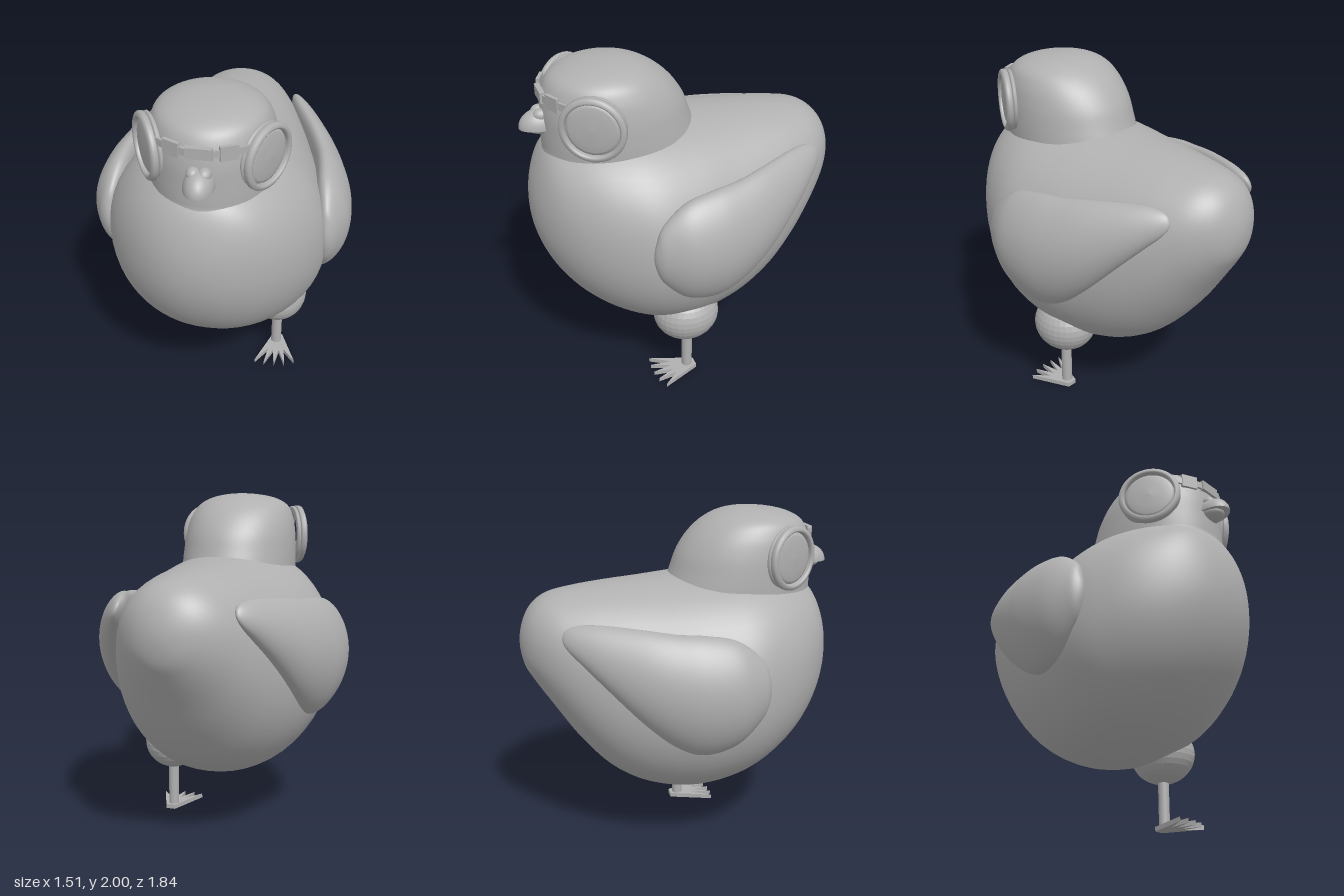
import * as THREE from 'three';
import { mergeVertices } from 'three/addons/utils/BufferGeometryUtils.js';

// Closed smooth loft along z. Stations: [z, low, high, halfWidth, centreX], pole to pole.
// A power below 1 makes the elliptical sections slightly squarer.
function loft(stations, power = 1, steps = 7, sides = 56) {
  const ghost = (s) => [s[0], s[2], s[1], -s[3], s[4] ?? 0];
  const bulge = (c) => Math.sign(c) * Math.abs(c) ** power;
  const n = stations.length;
  const list = [ghost(stations[1]), ...stations, ghost(stations[n - 2])];
  const rings = [];
  for (let i = 1; i < n; i++) {
    for (let k = 0; k < steps + (i === n - 1 ? 1 : 0); k++) {
      const t = k / steps;
      rings.push([0, 1, 2, 3, 4].map((q) => {
        const [a, b, c, d] = [0, 1, 2, 3].map((o) => list[i - 1 + o][q] ?? 0);
        return b + 0.5 * t * (c - a + t * (2 * a - 5 * b + 4 * c - d + t * (3 * (b - c) + d - a)));
      }));
    }
  }
  const pos = [], index = [];
  rings.forEach(([z, lo, hi, w, cx], i) => {
    for (let j = 0; j < sides; j++) {
      const a = (j / sides) * Math.PI * 2;
      pos.push(cx + w * bulge(Math.cos(a)), (lo + hi) / 2 + ((hi - lo) / 2) * bulge(Math.sin(a)), z);
      if (i === rings.length - 1) continue;
      const p = i * sides + j, q = i * sides + ((j + 1) % sides);
      index.push(p, q, q + sides, p, q + sides, p + sides);
    }
  });
  const g = new THREE.BufferGeometry();
  g.setAttribute('position', new THREE.Float32BufferAttribute(pos, 3));
  g.setIndex(index);
  const merged = mergeVertices(g, 1e-5);
  merged.computeVertexNormals();
  return merged;
}

export function createModel() {
  const model = new THREE.Group();
  model.name = 'bird';
  const grey = new THREE.MeshStandardMaterial({ color: 0xb0b0b0 });
  grey.name = 'grey';

  const add = (name, geometry, x = 0, y = 0, z = 0, parent = model) => {
    const mesh = new THREE.Mesh(geometry, grey);
    mesh.name = name;
    mesh.position.set(x, y, z);
    parent.add(mesh);
    return mesh;
  };

  // Plump body with a raised tail end
  add('body', loft([
    [-0.92, 1.27, 1.27, 0], [-0.9, 1.145, 1.385, 0.11], [-0.845, 1.045, 1.485, 0.21],
    [-0.75, 0.9, 1.55, 0.305], [-0.6, 0.68, 1.58, 0.4], [-0.42, 0.487, 1.6, 0.48],
    [-0.2, 0.367, 1.617, 0.55], [0.06, 0.33, 1.64, 0.612], [0.307, 0.383, 1.655, 0.625],
    [0.5, 0.478, 1.645, 0.56], [0.666, 0.613, 1.605, 0.455], [0.793, 0.78, 1.53, 0.322],
    [0.873, 0.967, 1.355, 0.168], [0.9, 1.16, 1.16, 0],
  ], 0.94));

  // Domed head, lofted upwards
  const head = loft([
    [1.4, -0.35, -0.35, 0], [1.42, -0.79, 0.11, 0.34], [1.53, -0.8, 0.08, 0.346],
    [1.65, -0.8, 0.037, 0.344], [1.76, -0.796, -0.005, 0.335], [1.86, -0.774, -0.075, 0.313],
    [1.935, -0.722, -0.165, 0.268], [1.982, -0.6, -0.27, 0.165], [2, -0.41, -0.41, 0],
  ]);
  head.rotateX(-Math.PI / 2);
  add('head', head);

  // Teardrop wings, bowed inwards at top and bottom to hug the body
  const wing = [
    [-0.715, 1.375, 1.375, 0, 0.395], [-0.69, 1.32, 1.425, 0.027, 0.405],
    [-0.62, 1.245, 1.45, 0.057, 0.43], [-0.5, 1.12, 1.455, 0.08, 0.48],
    [-0.3, 0.915, 1.44, 0.1, 0.56], [-0.13, 0.775, 1.42, 0.11, 0.61],
    [0.02, 0.72, 1.41, 0.115, 0.635], [0.19, 0.77, 1.375, 0.105, 0.64],
    [0.32, 0.907, 1.275, 0.06, 0.63], [0.365, 1, 1.18, 0.03, 0.625], [0.38, 1.09, 1.09, 0, 0.62],
  ];
  for (const side of [1, -1]) {
    const g = loft(wing.map(([z, lo, hi, w, c]) => [z, lo, hi, w, c * side]));
    const p = g.attributes.position;
    for (let i = 0; i < p.count; i++) p.setX(i, p.getX(i) - side * 0.55 * (p.getY(i) - 1.08) ** 2);
    g.computeVertexNormals();
    add(side > 0 ? 'leftWing' : 'rightWing', g);
  }

  // Beak: domed upper half with two bumps at its root, over a smaller lower half
  const upper = new THREE.SphereGeometry(1, 28, 12, 0, Math.PI * 2, 0, Math.PI / 2);
  add('upperBeak', upper.scale(0.08, 0.1, 0.12), 0, 1.662, 0.798);
  add('upperBeakBase', new THREE.CircleGeometry(1, 28).rotateX(Math.PI / 2).scale(0.08, 1, 0.12), 0, 1.662, 0.798);
  add('lowerBeak', new THREE.SphereGeometry(1, 24, 14).scale(0.065, 0.04, 0.085), 0, 1.662, 0.795);
  for (const side of [1, -1]) {
    add('beakBump', new THREE.SphereGeometry(1, 20, 14).scale(0.036, 0.035, 0.045), side * 0.028, 1.738, 0.797);
  }

  // Goggles: stepped rings with shallow domed lenses
  const v = (r, h) => new THREE.Vector2(r, h);
  const ringParts = [
    ['rim', [v(0.146, -0.02), v(0.17, -0.02), v(0.18, -0.014), v(0.181, 0.004), v(0.176, 0.014),
      v(0.16, 0.022), v(0.15, 0.018), v(0.146, 0.008), v(0.146, -0.02)]],
    ['rimBack', [v(0.14, -0.045), v(0.168, -0.045), v(0.176, -0.04), v(0.176, -0.028), v(0.168, -0.02), v(0.14, -0.02)]],
    ['lens', [v(0.148, -0.012), v(0.14, 0), v(0.13, 0.002), v(0.127, 0.006), v(0.08, 0.012), v(0, 0.016)]],
  ];
  const goggles = new THREE.Group();
  goggles.name = 'goggles';
  model.add(goggles);
  for (const side of [1, -1]) {
    const eyepiece = new THREE.Group();
    eyepiece.name = side > 0 ? 'leftEyepiece' : 'rightEyepiece';
    eyepiece.position.set(side * 0.313, 1.743, 0.595);
    eyepiece.rotation.y = side * 1.04;
    goggles.add(eyepiece);
    for (const [name, profile] of ringParts) {
      add(name, new THREE.LatheGeometry(profile, 56).rotateX(Math.PI / 2), 0, 0, 0, eyepiece);
    }
    // Strap links running from the bridge to the ring
    for (const [name, w, h, d, x, z, turn] of [
      ['thinLink', 0.07, 0.04, 0.014, 0.085, 0.777, 0.35],
      ['buckle', 0.095, 0.08, 0.02, 0.142, 0.755, 0.45],
      ['endLink', 0.07, 0.04, 0.014, 0.2, 0.72, 0.6],
    ]) {
      add(name, new THREE.BoxGeometry(w, h, d), side * x, 1.845, z, goggles).rotation.y = side * turn;
    }
  }
  add('bridge', new THREE.BoxGeometry(0.135, 0.06, 0.028), 0, 1.847, 0.788, goggles);

  // Single leg: faceted thigh, shank and toed foot
  const thigh = new THREE.SphereGeometry(1, 32, 16).scale(0.178, 0.172, 0.198).toNonIndexed();
  thigh.computeVertexNormals();
  add('thigh', thigh, 0.346, 0.45, 0.095);
  add('shank', new THREE.CylinderGeometry(0.032, 0.032, 0.3, 20), 0.35, 0.17, 0.09);
  const foot = new THREE.Shape([
    [0.325, 0.04], [0.385, 0.04], [0.485, 0.27], [0.41, 0.18], [0.425, 0.3], [0.378, 0.19],
    [0.36, 0.31], [0.342, 0.19], [0.295, 0.31], [0.31, 0.18], [0.235, 0.3],
  ].map(([x, z]) => v(x, -z)));
  add('foot', new THREE.ExtrudeGeometry(foot, { depth: 0.027, bevelEnabled: false }).rotateX(-Math.PI / 2));

  return model;
}
